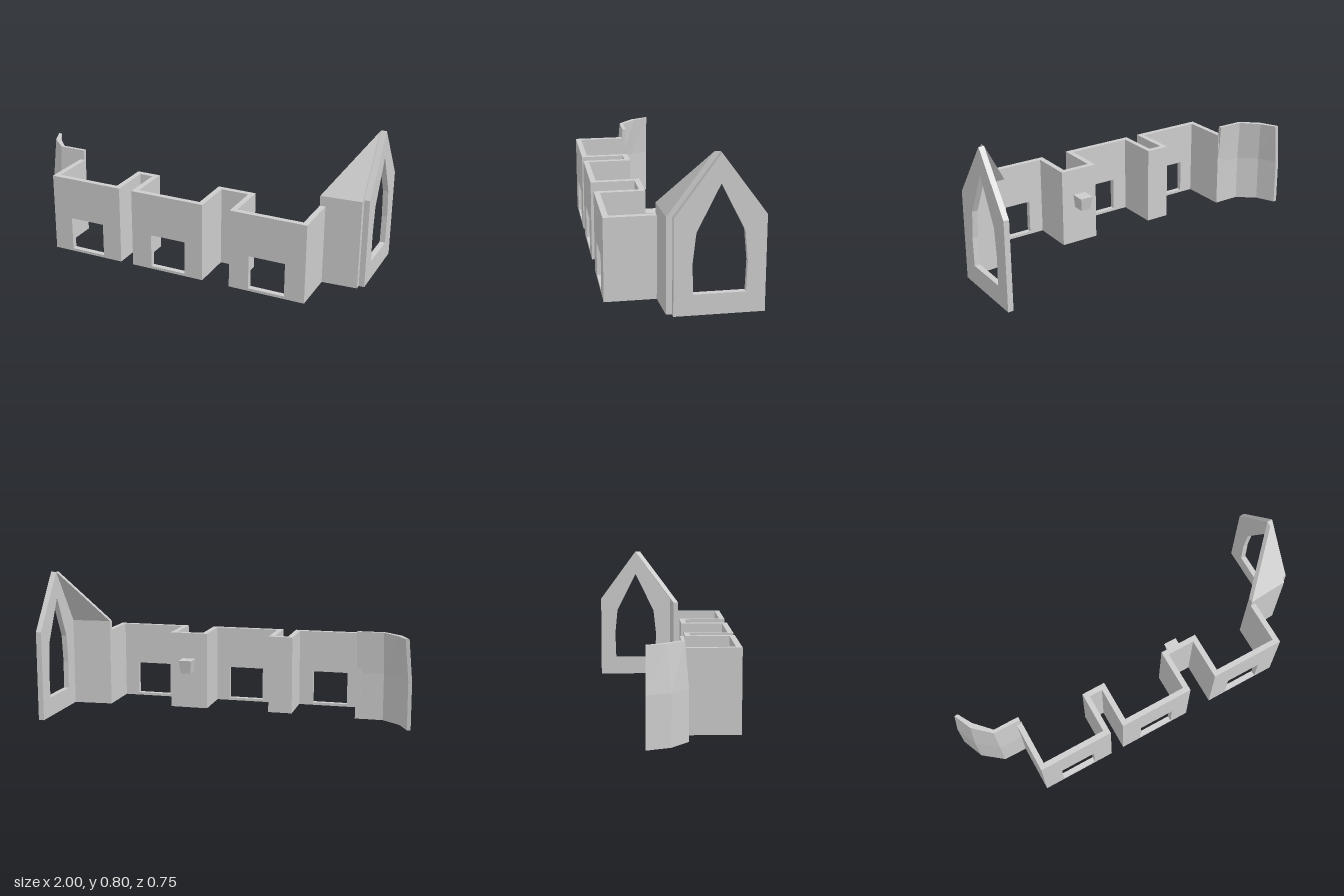
import * as THREE from 'three';

const H = 0.435; // height of the zigzag wall
const T = 0.03;  // wall thickness

// Bent plate between an outer and an inner grid of points: grid[station][level] = [x, y, z].
// Stations run towards +x, levels run upwards, the outer side faces +z.
function shell(outer, inner) {
  const pos = [];
  const quad = (a, b, c, d) => pos.push(...a, ...b, ...c, ...a, ...c, ...d);
  const S = outer.length - 1, L = outer[0].length - 1;
  for (let s = 0; s < S; s++) {
    for (let l = 0; l < L; l++) {
      quad(outer[s][l], outer[s + 1][l], outer[s + 1][l + 1], outer[s][l + 1]);
      quad(inner[s + 1][l], inner[s][l], inner[s][l + 1], inner[s + 1][l + 1]);
    }
    quad(outer[s][L], outer[s + 1][L], inner[s + 1][L], inner[s][L]);
    quad(outer[s + 1][0], outer[s][0], inner[s][0], inner[s + 1][0]);
  }
  for (let l = 0; l < L; l++) {
    quad(inner[0][l], outer[0][l], outer[0][l + 1], inner[0][l + 1]);
    quad(outer[S][l], inner[S][l], inner[S][l + 1], outer[S][l + 1]);
  }
  const g = new THREE.BufferGeometry();
  g.setAttribute('position', new THREE.Float32BufferAttribute(pos, 3));
  g.computeVertexNormals();
  return g;
}

const polygon = (pts, Type = THREE.Shape) => new Type(pts.map(p => new THREE.Vector2(...p)));
const rect = (x0, y0, x1, y1) => [[x0, y0], [x1, y0], [x1, y1], [x0, y1]];
const extrude = (shape) => new THREE.ExtrudeGeometry(shape, { depth: T, bevelEnabled: false });

export function createModel() {
  const group = new THREE.Group();
  const stone = new THREE.MeshStandardMaterial({ color: 0xcccccc, flatShading: true });
  stone.name = 'paleStone';

  const add = (name, geometry) => {
    const mesh = new THREE.Mesh(geometry, stone);
    mesh.name = name;
    group.add(mesh);
    return mesh;
  };
  const wall = (name, x0, x1, z0, z1) =>
    add(name, new THREE.BoxGeometry(x1 - x0, H, z1 - z0))
      .position.set((x0 + x1) / 2, H / 2, (z0 + z1) / 2);

  // Three projecting bays, each with a window and two side walls
  const bays = [[-0.71, -0.29, -0.6, 0.085], [-0.215, 0.205, -0.1, 0.11], [0.36, 0.78, 0.47, 0.11]];
  for (const [x0, x1, w, back] of bays) {
    const front = polygon(rect(x0, 0, x1, H));
    front.holes.push(polygon(rect(w, 0.015, w + 0.2, 0.2), THREE.Path));
    add('bayFront', extrude(front)).position.z = 0.345;
    wall('baySideRight', x0, x0 + T, back, 0.345);
    wall('baySideLeft', x1 - T, x1, 0.11, 0.345);
  }

  // Recessed walls between the bays
  wall('recessWall', -0.29, -0.215, 0.11, 0.14);
  wall('recessWall', 0.205, 0.36, 0.11, 0.14);

  // Small tapered block on the back of the wider recess
  const block = new THREE.BoxGeometry(0.075, 0.075, 0.08);
  const p = block.attributes.position;
  for (let i = 0; i < p.count; i++) {
    if (p.getY(i) < 0) {
      p.setX(i, p.getX(i) * 0.75);
      if (p.getZ(i) < 0) p.setZ(i, -0.026);
    }
  }
  block.computeVertexNormals();
  add('backBlock', block).position.set(0.2825, 0.25, 0.07);

  // Curved wing on the right: upright below, leaning inwards above
  const levels = (low, high) => low.map(([x, z], i) =>
    [[x, 0, z], [x, 0.26, z], [high[i][0], 0.49, high[i][1]]]);
  add('curvedWing', shell(
    levels([[-1, -0.1], [-0.95, 0.02], [-0.84, 0.108], [-0.685, 0.11]],
      [[-0.98, -0.1], [-0.935, 0], [-0.84, 0.088], [-0.685, 0.09]]),
    levels([[-0.98, -0.1], [-0.932, 0.005], [-0.834, 0.085], [-0.685, 0.087]],
      [[-0.96, -0.1], [-0.915, -0.02], [-0.83, 0.07], [-0.685, 0.07]])));

  // Wall and triangular roof slope joining the last bay to the gable
  const slope = (d) => [
    [[0.75, 0, 0.115 - d], [0.75, 0.49, 0.115 - d], [0.75, 0.49, 0.115 - d]],
    [[0.97, 0, 0.1 - d], [0.97, 0.49, 0.1 - d], [0.97, 0.795, -0.122 - d]],
  ];
  add('gableWallAndRoof', shell(slope(0), slope(T)));

  // Gable plate with a pointed window, drawn as (-z, y) and turned to face +x
  const gable = polygon([[-0.07, 0], [0.375, 0], [0.375, 0.49], [0.152, 0.795], [-0.07, 0.49]]);
  gable.holes.push(polygon([[0.025, 0.107], [0.28, 0.107], [0.285, 0.26], [0.27, 0.415],
    [0.152, 0.65], [0.037, 0.415], [0.02, 0.26]], THREE.Path));
  const plate = add('gable', extrude(gable));
  plate.rotation.y = Math.PI / 2;
  plate.position.x = 0.97;

  return group;
}
